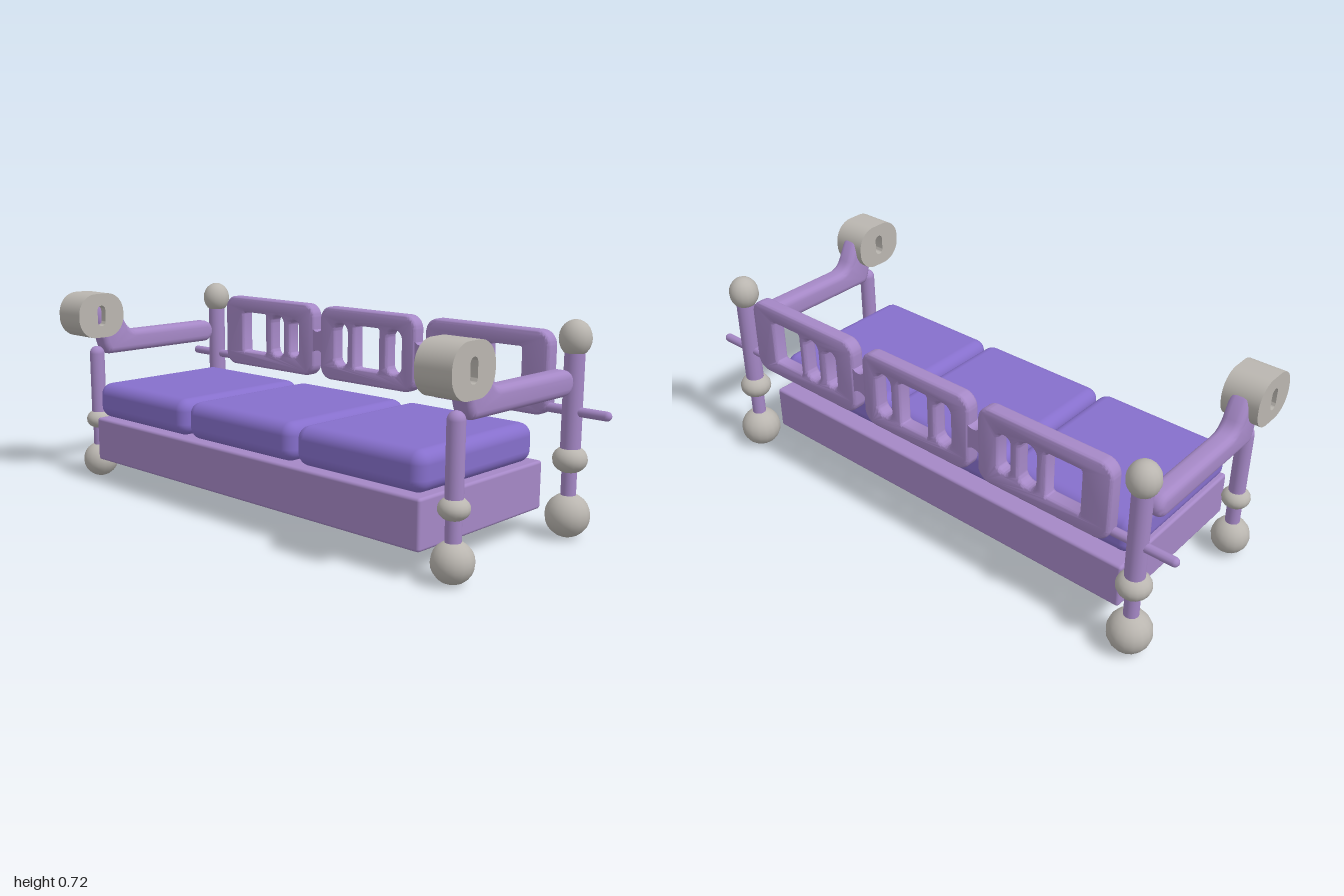
import * as THREE from 'three';
import { toCreasedNormals } from 'three/addons/utils/BufferGeometryUtils.js';
import { RoundedBoxGeometry } from 'three/addons/geometries/RoundedBoxGeometry.js';

const material = (name, color) => {
  const m = new THREE.MeshStandardMaterial({ color });
  m.name = name;
  return m;
};

// Traces a rounded rectangle onto a Shape or Path.
function roundedRect(path, x0, x1, y0, y1, r) {
  path.moveTo(x0 + r, y0);
  path.lineTo(x1 - r, y0);
  path.absarc(x1 - r, y0 + r, r, -Math.PI / 2, 0);
  path.lineTo(x1, y1 - r);
  path.absarc(x1 - r, y1 - r, r, 0, Math.PI / 2);
  path.lineTo(x0 + r, y1);
  path.absarc(x0 + r, y1 - r, r, Math.PI / 2, Math.PI);
  path.lineTo(x0, y0 + r);
  path.absarc(x0 + r, y0 + r, r, Math.PI, Math.PI * 1.5);
  return path;
}

// Extrudes a shape to a total thickness, centred on its own plane.
function slab(shape, thickness, bevel = 0, curveSegments = 6) {
  const geo = new THREE.ExtrudeGeometry(shape, {
    depth: thickness - 2 * bevel, curveSegments,
    bevelEnabled: bevel > 0, bevelSize: bevel, bevelThickness: bevel,
    bevelOffset: -bevel, bevelSegments: 4,
  });
  geo.translate(0, 0, bevel - thickness / 2);
  return toCreasedNormals(geo, 0.65);
}

export function createModel() {
  const model = new THREE.Group();
  model.name = 'sofa';
  const frame = material('lilac frame', 0xa588c6);
  const fabric = material('violet cushion', 0x866fcc);
  const metal = material('warm grey', 0xbab6b0);

  const add = (name, geo, mat, x, y, z, parent = model) => {
    const mesh = new THREE.Mesh(geo, mat);
    mesh.name = name;
    mesh.position.set(x, y, z);
    parent.add(mesh);
    return mesh;
  };

  // Seat base and three cushions
  add('seatBase', new RoundedBoxGeometry(1.57, 0.162, 0.63, 2, 0.01), frame, 0, 0.169, 0.032);
  for (const [x0, x1] of [[-0.785, -0.275], [-0.262, 0.254], [0.267, 0.782]]) {
    add('seatCushion', new RoundedBoxGeometry(x1 - x0, 0.13, 0.58, 4, 0.042), fabric,
      (x0 + x1) / 2, 0.318, 0.05);
  }

  // Backrest panels: each hole is x0, x1, y0, y1, corner radius
  const square = (a, b) => [a, b, 0.447, 0.607, 0.008];
  const slot = (a, b) => [a, b, 0.447, 0.607, 0.031];
  const smallSlot = (a, b) => [a, b, 0.457, 0.596, 0.023];
  const panels = [
    [-0.778, -0.275, [square(-0.671, -0.543), slot(-0.505, -0.44), smallSlot(-0.404, -0.356)]],
    [-0.238, 0.228, [slot(-0.163, -0.099), square(-0.061, 0.056), slot(0.099, 0.163)]],
    [0.272, 0.778, [smallSlot(0.359, 0.408), slot(0.445, 0.51), square(0.54, 0.671)]],
  ];
  for (const [x0, x1, holes] of panels) {
    const shape = roundedRect(new THREE.Shape(), x0, x1, 0.388, 0.667, 0.05);
    for (const h of holes) shape.holes.push(roundedRect(new THREE.Path(), ...h));
    add('backPanel', slab(shape, 0.055, 0.012), frame, 0, 0, -0.332);
  }

  // Waisted links between the panels
  for (const x of [-0.2565, 0.25]) {
    const link = new THREE.Shape();
    link.moveTo(-0.035, 0.475);
    link.quadraticCurveTo(0, 0.515, 0.035, 0.475);
    link.lineTo(0.035, 0.585);
    link.quadraticCurveTo(0, 0.545, -0.035, 0.585);
    add('panelLink', slab(link, 0.048), frame, x, 0, -0.332);
  }

  // Armrest profile, drawn as (z, y)
  const arm = new THREE.Shape();
  arm.moveTo(0.24, 0.478);
  arm.quadraticCurveTo(0.262, 0.484, 0.274, 0.535);
  arm.lineTo(0.3, 0.6);
  arm.quadraticCurveTo(0.312, 0.64, 0.288, 0.67);
  arm.quadraticCurveTo(0.24, 0.698, 0.198, 0.66);
  arm.lineTo(0.165, 0.596);
  arm.quadraticCurveTo(0.147, 0.562, 0.11, 0.562);
  arm.lineTo(-0.237, 0.562);
  arm.absarc(-0.237, 0.52, 0.042, Math.PI / 2, Math.PI * 1.5);
  const armGeo = slab(arm, 0.075, 0.024).rotateY(-Math.PI / 2);

  // Rounded head block with a slot through it
  const head = roundedRect(new THREE.Shape(), 0.2, 0.4, 0.551, 0.717, 0.075);
  head.holes.push(roundedRect(new THREE.Path(), 0.283, 0.318, 0.595, 0.672, 0.017));
  const headGeo = slab(head, 0.13).rotateY(-Math.PI / 2);

  for (const side of [-1, 1]) {
    const end = new THREE.Group();
    end.name = side > 0 ? 'leftEnd' : 'rightEnd';
    model.add(end);
    const px = 0.86 * side;
    const ball = (name, y, z, r, ry = r) =>
      add(name, new THREE.SphereGeometry(r, 16, 12).scale(1, ry / r, 1), metal, px, y, z, end);
    const rod = (name, y0, y1, z, r) =>
      add(name, new THREE.CylinderGeometry(r, r, y1 - y0, 16), frame, px, (y0 + y1) / 2, z, end);

    // Rear post
    ball('rearFoot', 0.0735, -0.325, 0.0735);
    rod('rearLeg', 0.1, 0.25, -0.325, 0.025);
    ball('rearCollar', 0.26, -0.325, 0.057, 0.046);
    rod('rearPost', 0.27, 0.62, -0.325, 0.033);
    ball('rearFinial', 0.652, -0.325, 0.053, 0.06);

    // Front post with a domed top
    ball('frontFoot', 0.066, 0.284, 0.066);
    rod('frontLeg', 0.1, 0.2, 0.284, 0.025);
    ball('frontCollar', 0.226, 0.284, 0.049, 0.037);
    rod('frontPost', 0.23, 0.483, 0.284, 0.028);
    add('frontPostTop', new THREE.SphereGeometry(0.028, 16, 6, 0, Math.PI * 2, 0, Math.PI / 2),
      frame, px, 0.483, 0.284, end);

    // Armrest and its head
    add('armrest', armGeo, frame, px, 0, 0, end);
    add('armHead', headGeo, metal, 0.863 * side, 0, 0, end);

    // Rod from the back panel out through the rear post
    const bar = add('sideRod', new THREE.CapsuleGeometry(0.016, 0.208, 4, 12), frame,
      0.88 * side, 0.418, -0.325, end);
    bar.rotation.z = Math.PI / 2;
  }
  return model;
}
